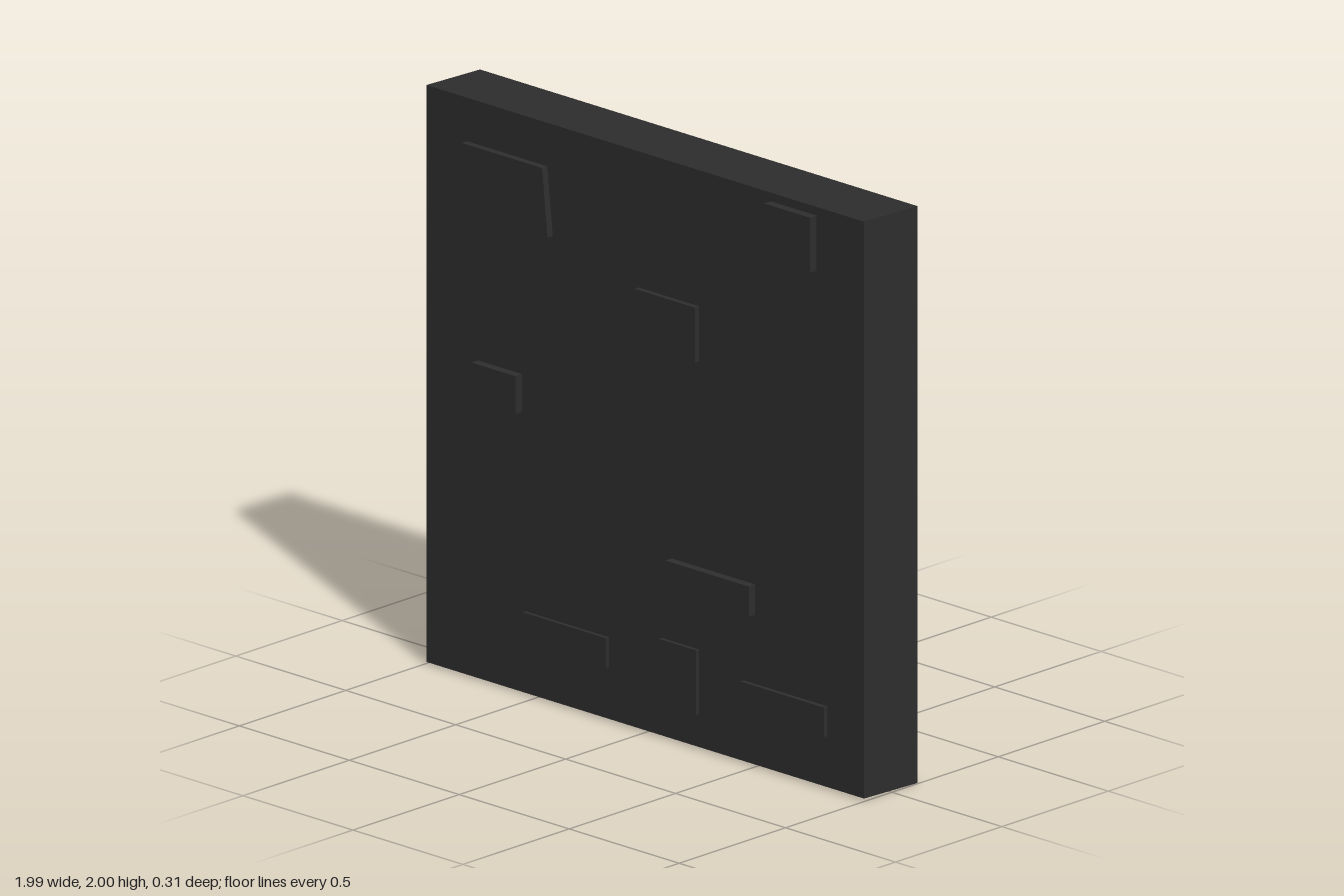
import * as THREE from 'three';

export function createModel() {
  const group = new THREE.Group();
  const charcoal = new THREE.MeshStandardMaterial({ color: 0x2e2e2e });
  charcoal.name = 'charcoal';

  // Extrudes an outline symmetrically about z = 0
  function prism(name, points, halfDepth) {
    const shape = new THREE.Shape(points.map(([x, y]) => new THREE.Vector2(x, y)));
    const geometry = new THREE.ExtrudeGeometry(shape, { depth: halfDepth * 2, bevelEnabled: false });
    geometry.translate(0, 0, -halfDepth);
    const mesh = new THREE.Mesh(geometry, charcoal);
    mesh.name = name;
    group.add(mesh);
    return mesh;
  }
  const rect = (x0, x1, y0, y1) => [[x0, y0], [x1, y0], [x1, y1], [x0, y1]];

  // Main slab, its front face sitting very slightly higher than its back
  const slab = prism('slab', rect(-0.995, 0.995, 0.004, 1.996), 0.126);
  const pos = slab.geometry.attributes.position;
  for (let i = 0; i < pos.count; i++) {
    pos.setY(i, pos.getY(i) + Math.sign(pos.getZ(i)) * 0.004);
  }
  slab.geometry.computeVertexNormals();

  // Raised blocks passing through the slab: x0, x1, y0, y1, half depth
  const blocks = [
    [0.57, 0.78, 1.78, 1.97, 0.157],
    [-0.03, 0.245, 1.34, 1.53, 0.145],
    [-0.76, -0.56, 0.975, 1.105, 0.157],
    [0.12, 0.5, 0.525, 0.63, 0.156],
    [-0.545, -0.165, 0.185, 0.29, 0.14],
    [0.075, 0.245, 0.12, 0.345, 0.14],
    [0.45, 0.83, 0.185, 0.287, 0.143],
  ];
  blocks.forEach(([x0, x1, y0, y1, d], i) => prism(`raisedBlock${i + 1}`, rect(x0, x1, y0, y1), d));

  // Large block with one slanted end
  prism('slantedBlock', [[-0.81, 1.62], [-0.42, 1.615], [-0.445, 1.85], [-0.81, 1.85]], 0.151);

  return group;
}
